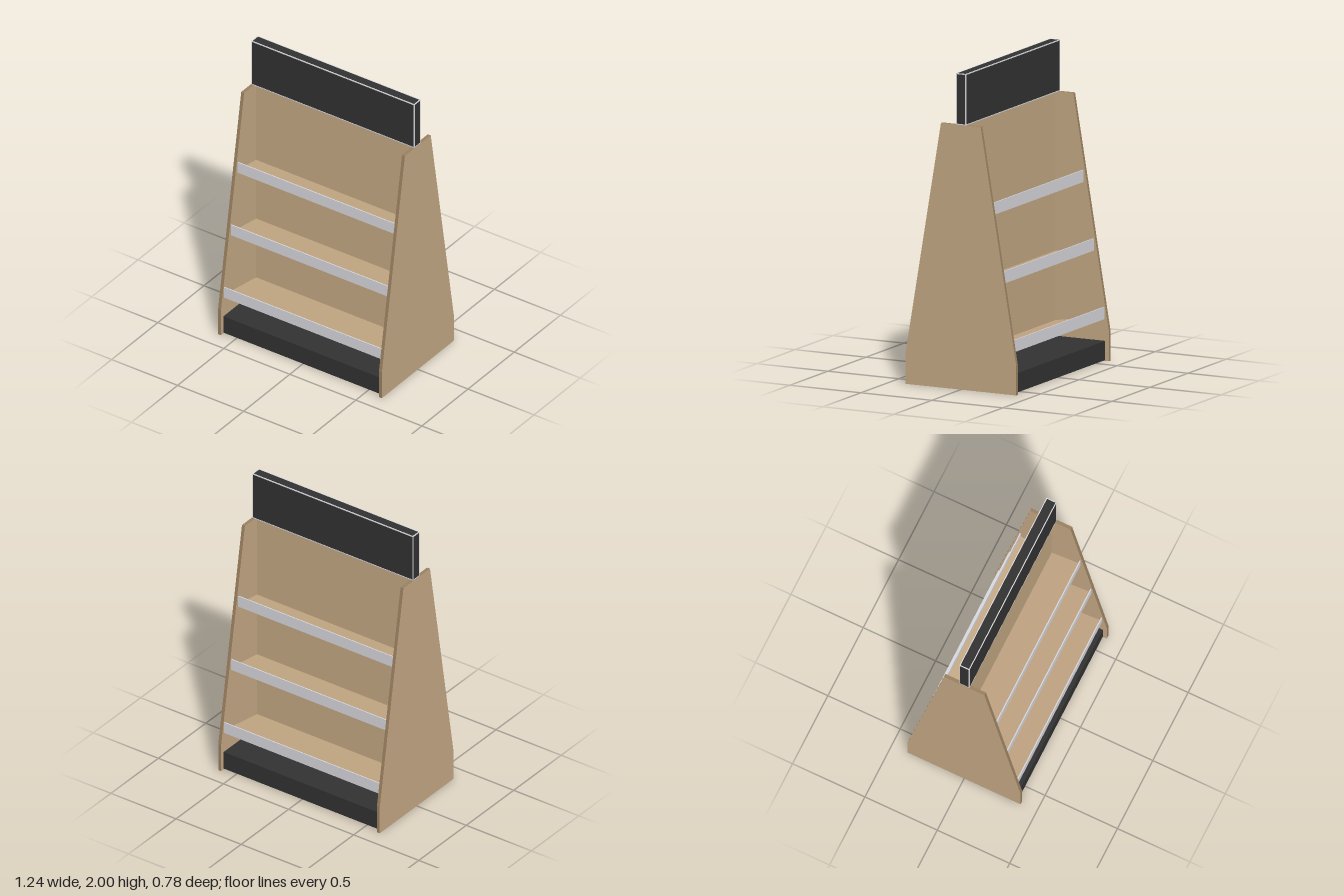
import * as THREE from 'three';

const mat = (name, color) => {
  const m = new THREE.MeshStandardMaterial({ color });
  m.name = name;
  return m;
};

export function createModel() {
  const wood = mat('wood', 0xc4a884);
  const edge = mat('wood edge', 0x9a8060);
  const black = mat('black', 0x323232);
  const silver = mat('silver', 0xd8d8de);
  const model = new THREE.Group();
  model.name = 'displayStand';

  const add = (parent, name, geometry, material, x = 0, y = 0, z = 0) => {
    const mesh = new THREE.Mesh(geometry, material);
    mesh.name = name;
    mesh.position.set(x, y, z);
    parent.add(mesh);
    return mesh;
  };
  const box = (parent, name, w, h, d, material, x, y, z) =>
    add(parent, name, new THREE.BoxGeometry(w, h, d), material, x, y, z);

  // Extrudes a (z, y) profile along x, centred on x = 0
  const extrudeX = (points, width) => {
    const shape = new THREE.Shape(points.map(([z, y]) => new THREE.Vector2(z, y)));
    return new THREE.ExtrudeGeometry(shape, { depth: width, bevelEnabled: false })
      .rotateY(-Math.PI / 2).translate(width / 2, 0, 0);
  };

  // Tapered side panels with darker cut edges
  const sideProfile = [[-0.39, 0], [0.39, 0], [0.39, 0.19], [0.14, 1.675], [-0.14, 1.675], [-0.39, 0.19]];
  for (const s of [-1, 1]) {
    add(model, s > 0 ? 'leftPanel' : 'rightPanel', extrudeX(sideProfile, 0.022), [wood, edge], s * 0.609);
  }

  // Plinth and the divider between the two shelf sides
  box(model, 'plinth', 1.196, 0.122, 0.726, black, 0, 0.066, 0);
  box(model, 'divider', 1.196, 1.548, 0.02, wood, 0, 0.901, 0);

  // Shelves sloping down toward the divider, each with a price rail
  const slope = Math.tan(Math.PI / 18), thick = 0.02, zBack = 0.01;
  for (const side of ['front', 'back']) {
    const rack = new THREE.Group();
    rack.name = side + 'Shelves';
    if (side === 'back') rack.rotation.y = Math.PI;
    [[0.264, 0.358], [0.691, 0.284], [1.118, 0.21]].forEach(([y, z]) => {
      const zFront = z - 0.007, drop = slope * (zFront - zBack);
      const profile = [[zBack, y - drop], [zFront, y], [zFront, y + thick], [zBack, y - drop + thick]];
      add(rack, 'shelf', extrudeX(profile, 1.196), wood);
      box(rack, 'priceRail', 1.196, 0.077, 0.007, silver, 0, y + 0.0385, z - 0.0035);
    });
    model.add(rack);
  }

  // Header board framed by thin silver trim along all twelve edges
  const header = new THREE.Group();
  header.name = 'header';
  header.position.y = 1.8375;
  model.add(header);
  const W = 1.234, H = 0.325, D = 0.07, t = 0.006;
  box(header, 'headerBoard', W - 0.002, H - 0.002, D - 0.002, black);
  for (const a of [-1, 1]) {
    for (const b of [-1, 1]) {
      box(header, 'trimLong', W, t, t, silver, 0, a * (H - t) / 2, b * (D - t) / 2);
      box(header, 'trimUpright', t, H - 2 * t, t, silver, a * (W - t) / 2, 0, b * (D - t) / 2);
      box(header, 'trimShort', t, t, D - 2 * t, silver, a * (W - t) / 2, b * (H - t) / 2, 0);
    }
  }
  return model;
}
